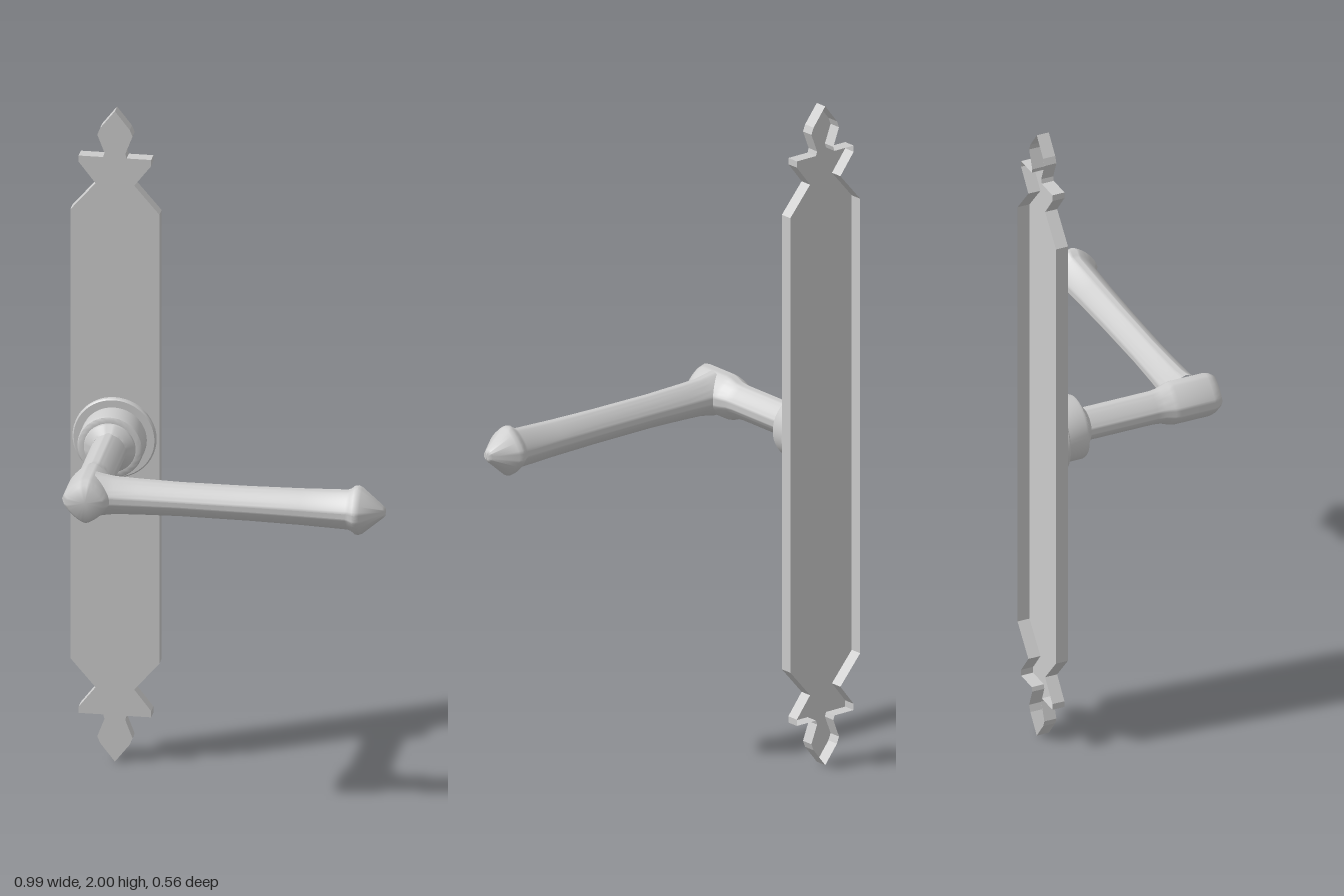
import * as THREE from 'three';
import { toCreasedNormals } from 'three/addons/utils/BufferGeometryUtils.js';

const material = new THREE.MeshStandardMaterial({ color: 0xcccccc });
const sheetMaterial = new THREE.MeshStandardMaterial({ color: 0xcccccc, side: THREE.DoubleSide });
const PLATE_X = -0.364, AXIS_Y = 1.0, LEVER_Z = 0.2;
const PLATE_FRONT = -0.242, PLATE_BACK = -0.28;

// Profile of [position, radius] turned about z; power < 2 squeezes the circle to a soft diamond
function turned(name, profile, power = 2, crease = 0.6) {
  const points = profile.map(([along, radius]) => new THREE.Vector2(radius, along));
  const geometry = new THREE.LatheGeometry(points, 48);
  const pos = geometry.attributes.position;
  for (let i = 0; i < pos.count; i++) {
    const x = pos.getX(i), z = pos.getZ(i), r = Math.hypot(x, z);
    if (r < 1e-6) continue;
    const norm = Math.pow(Math.abs(x / r) ** power + Math.abs(z / r) ** power, 1 / power);
    pos.setX(i, x / norm);
    pos.setZ(i, z / norm);
  }
  geometry.rotateX(Math.PI / 2);
  const mesh = new THREE.Mesh(toCreasedNormals(geometry, crease), material);
  mesh.name = name;
  return mesh;
}

// Long sheet plate with mirrored pointed finials: a front panel and a rim, open at the back
function backPlate() {
  // Upper right quarter: [half width, height above the middle]
  const quarter = [
    [0.129, 0.69], [0.056, 0.775], [0.105, 0.838], [0.105, 0.857],
    [0.034, 0.857], [0.03, 0.87], [0.051, 0.925], [0.043, 0.945],
  ];
  const mirrored = (sx, sy) => quarter.map(([x, y]) => new THREE.Vector2(x * sx, y * sy));
  const outline = [
    ...mirrored(1, 1), new THREE.Vector2(0, 1), ...mirrored(-1, 1).reverse(),
    ...mirrored(-1, -1), new THREE.Vector2(0, -1), ...mirrored(1, -1).reverse(),
  ];

  const panel = new THREE.Mesh(new THREE.ShapeGeometry(new THREE.Shape(outline)), sheetMaterial);
  panel.name = 'platePanel';
  panel.position.z = PLATE_FRONT;

  // Rim: one quad per outline edge, running from the panel to the back
  const corners = [];
  outline.forEach((a, i) => {
    const b = outline[(i + 1) % outline.length];
    const [a0, b0, b1, a1] = [
      [a.x, a.y, PLATE_BACK], [b.x, b.y, PLATE_BACK],
      [b.x, b.y, PLATE_FRONT], [a.x, a.y, PLATE_FRONT],
    ];
    corners.push(...a0, ...b0, ...b1, ...a0, ...b1, ...a1);
  });
  const rimGeometry = new THREE.BufferGeometry();
  rimGeometry.setAttribute('position', new THREE.Float32BufferAttribute(corners, 3));
  rimGeometry.computeVertexNormals();
  const rim = new THREE.Mesh(rimGeometry, sheetMaterial);
  rim.name = 'plateRim';

  const plate = new THREE.Group();
  plate.name = 'backPlate';
  plate.position.set(PLATE_X, 1, 0);
  plate.add(panel, rim);
  return plate;
}

export function createModel() {
  const model = new THREE.Group();
  model.name = 'doorHandle';
  model.add(backPlate());

  // Stepped round rosette standing on the plate
  const rosette = turned('rosette', [
    [PLATE_FRONT, 0.121], [-0.231, 0.121], [-0.227, 0.117], [-0.227, 0.095],
    [-0.163, 0.095], [-0.156, 0.092], [-0.153, 0.086], [-0.153, 0.075],
    [-0.147, 0.073], [-0.135, 0.057], [-0.13, 0.05],
  ]);
  rosette.position.set(PLATE_X, AXIS_Y, 0);

  // Neck coming forward, swelling into the elbow with a softly shaded end
  const neck = turned('neck', [
    [-0.15, 0.054], [0.08, 0.054], [0.105, 0.057], [0.13, 0.067], [0.145, 0.07],
    [0.252, 0.07], [0.265, 0.066], [0.28, 0.055], [0.28, 0],
  ], 1.4, 2);
  neck.position.set(PLATE_X, AXIS_Y, 0);

  // Lever running sideways, slightly waisted, with a pointed end
  const lever = turned('lever', [
    [-0.345, 0.068], [-0.315, 0.062], [-0.29, 0.058], [-0.22, 0.055], [-0.1, 0.052],
    [0.1, 0.053], [0.25, 0.056], [0.385, 0.061], [0.395, 0.065], [0.406, 0.074],
    [0.416, 0.076], [0.427, 0.071], [0.486, 0.02], [0.493, 0.012], [0.493, 0],
  ], 1.4, 0.9);
  lever.rotation.y = Math.PI / 2;
  lever.position.set(0, AXIS_Y, LEVER_Z);

  model.add(rosette, neck, lever);
  return model;
}
